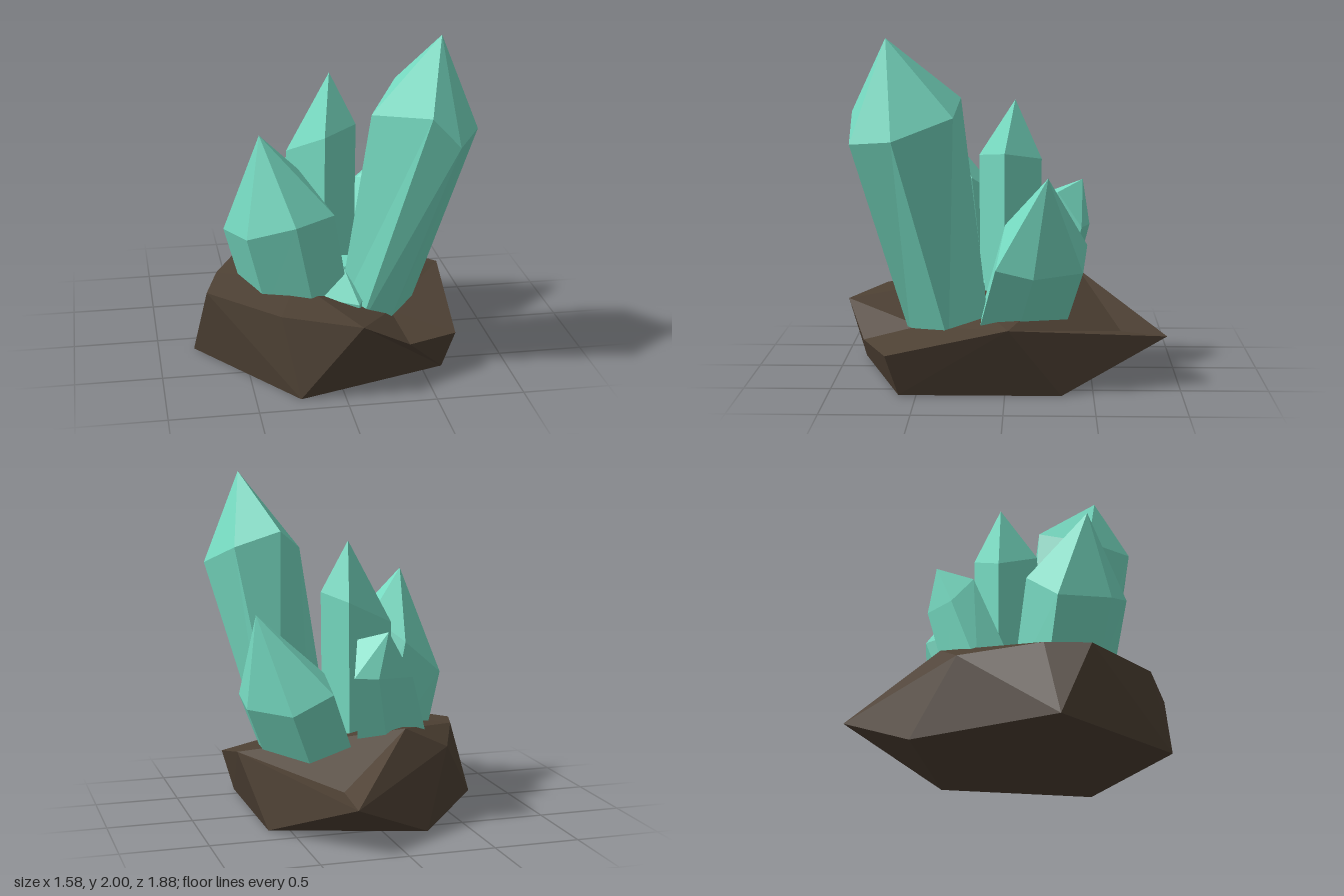
import * as THREE from 'three';

const crystalMat = new THREE.MeshStandardMaterial({ color: 0x76dac1 });
crystalMat.name = 'teal crystal';
const rockMat = new THREE.MeshStandardMaterial({ color: 0x4e4134 });
rockMat.name = 'brown rock';

// Faceted mesh from corner points and triangles
function facetedMesh(name, points, faces, material) {
  const indexed = new THREE.BufferGeometry();
  indexed.setAttribute('position', new THREE.Float32BufferAttribute(points.flat(), 3));
  indexed.setIndex(faces.flat());
  const geometry = indexed.toNonIndexed();
  geometry.computeVertexNormals();
  const mesh = new THREE.Mesh(geometry, material);
  mesh.name = name;
  return mesh;
}

// Leaning prism with a pointed cap. The rim runs front, right, back, left.
// Going down, each side edge shifts by lean (x, z per unit of height), more so
// towards +x +z when skewed, and the foot is scaled by taper.
function crystal(name, tip, rim, { lean = [0, 0], taper = 1, skew = 0, footY }) {
  const n = rim.length;
  const cx = rim.reduce((s, p) => s + p[0], 0) / n;
  const cz = rim.reduce((s, p) => s + p[2], 0) / n;
  const foot = rim.map(([x, y, z]) => {
    const ox = x - cx, oz = z - cz, drop = y - footY;
    const extra = skew * (ox + oz);
    return [
      cx + ox * taper + (lean[0] - extra) * drop,
      footY,
      cz + oz * taper + (lean[1] - extra) * drop,
    ];
  });
  const faces = [];
  for (let i = 0; i < n; i++) {
    const j = (i + 1) % n;
    faces.push([i, j, 2 * n]);
    faces.push([n + i, n + j, j], [n + i, j, i]);
    if (i > 0 && i < n - 1) faces.push([n, n + i + 1, n + i]);
  }
  return facetedMesh(name, [...rim, ...foot, tip], faces, crystalMat);
}

function tallCrystal() {
  const rim = [[0.47, 1.59, 0.855], [0.63, 1.42, 0.855], [0.785, 1.45, 0.61],
    [0.665, 1.57, 0.28], [0.39, 1.66, 0.25], [0.2, 1.53, 0.53]];
  return crystal('tallCrystal', [0.555, 2, 0.655], rim,
    { lean: [-0.2, -0.18], skew: 0.2, footY: 0.26 });
}

function leftCrystal() {
  const rim = [[-0.5, 0.82, 0.5], [-0.24, 0.93, 0.65], [0, 0.94, 0.5],
    [-0.165, 1.13, 0.217], [-0.33, 0.99, 0.04], [-0.6, 0.77, 0.17]];
  return crystal('leftCrystal', [-0.41, 1.4, 0.39], rim,
    { lean: [0.22, -0.13], taper: 0.93, footY: 0.36 });
}

function middleCrystal() {
  const rim = [[0, 1.29, 0.165], [0.21, 1.32, 0.01], [0.1, 1.28, -0.205], [-0.19, 1.14, -0.1]];
  return crystal('middleCrystal', [0.06, 1.625, -0.05], rim, { taper: 0.97, footY: 0.35 });
}

function rightCrystal() {
  const rim = [[0.47, 0.95, 0], [0.7, 0.73, 0.05], [0.7, 0.68, -0.16],
    [0.5, 0.68, -0.44], [0.27, 0.8, -0.47], [0.27, 0.89, -0.27]];
  return crystal('rightCrystal', [0.66, 1.24, -0.24], rim,
    { lean: [-0.4, 0.27], taper: 0.98, footY: 0.3 });
}

function backCrystal() {
  const rim = [[-0.14, 1.05, -0.24], [0.08, 1.08, -0.3], [0.14, 0.88, -0.44],
    [0.01, 0.88, -0.49], [-0.23, 0.86, -0.38]];
  return crystal('backCrystal', [-0.06, 1.14, -0.45], rim,
    { lean: [-0.22, 0.3], taper: 1.25, footY: 0.4 });
}

function smallCrystal() {
  const rim = [[-0.12, 0.45, 0.52], [0.13, 0.42, 0.6], [0.28, 0.45, 0.3],
    [0.25, 0.54, 0.13], [0, 0.54, 0.13]];
  return crystal('smallCrystal', [0.07, 0.58, 0.41], rim, { footY: 0.3 });
}

function rock() {
  // upper rim, counter-clockwise from the front (corners 0 to 8)
  const rim = [[0.09, 0.44, 0.94], [0.38, 0.26, 0.82], [0.68, 0.24, 0.67],
    [0.73, 0.4, -0.02], [0.27, 0.26, -0.94], [-0.45, 0.43, -0.37],
    [-0.64, 0.46, 0.08], [-0.72, 0.44, 0.33], [-0.34, 0.45, 0.75]];
  // five-sided underside (9 to 13)
  const underside = [[-0.25, 0.88], [0.62, 0.6], [0.62, -0.32], [-0.25, -0.6], [-0.79, 0.14]]
    .map(([x, z]) => [x, 0, z]);
  // rear peak, front hollow, middle of the top and rear hollow (14 to 17)
  const crown = [[-0.17, 0.57, -0.43], [0.33, 0.33, 0.5], [-0.2, 0.49, 0.35], [0.27, 0.29, -0.67]];

  // each underside edge carries one triangle up to the rim corner given here
  const edgeCorner = [0, 2, 4, 5, 7];
  const faces = edgeCorner.map((corner, i) => [9 + i, 9 + (i + 1) % 5, corner]);
  faces[1] = [10, 11, 3];
  // each rim edge carries one triangle down to the underside corner given here
  const rimFoot = [10, 10, 10, 11, 12, 13, 13, 9, 9];
  // and one triangle inwards to the crown corner given here
  const rimCrown = [15, 15, 15, 17, 14, 14, 16, 16, 16];
  for (let i = 0; i < 9; i++) {
    const j = (i + 1) % 9;
    faces.push([rimFoot[i], j, i], [i, j, rimCrown[i]]);
  }
  faces.push([3, 17, 14], [17, 4, 14], [0, 15, 16], [15, 3, 16], [3, 14, 16], [14, 6, 16]);
  faces.push([9, 13, 12], [9, 12, 11], [9, 11, 10]);
  return facetedMesh('rockBase', [...rim, ...underside, ...crown], faces, rockMat);
}

export function createModel() {
  const model = new THREE.Group();
  model.name = 'crystalCluster';
  model.add(rock(), tallCrystal(), leftCrystal(), middleCrystal(),
    rightCrystal(), backCrystal(), smallCrystal());
  return model;
}
